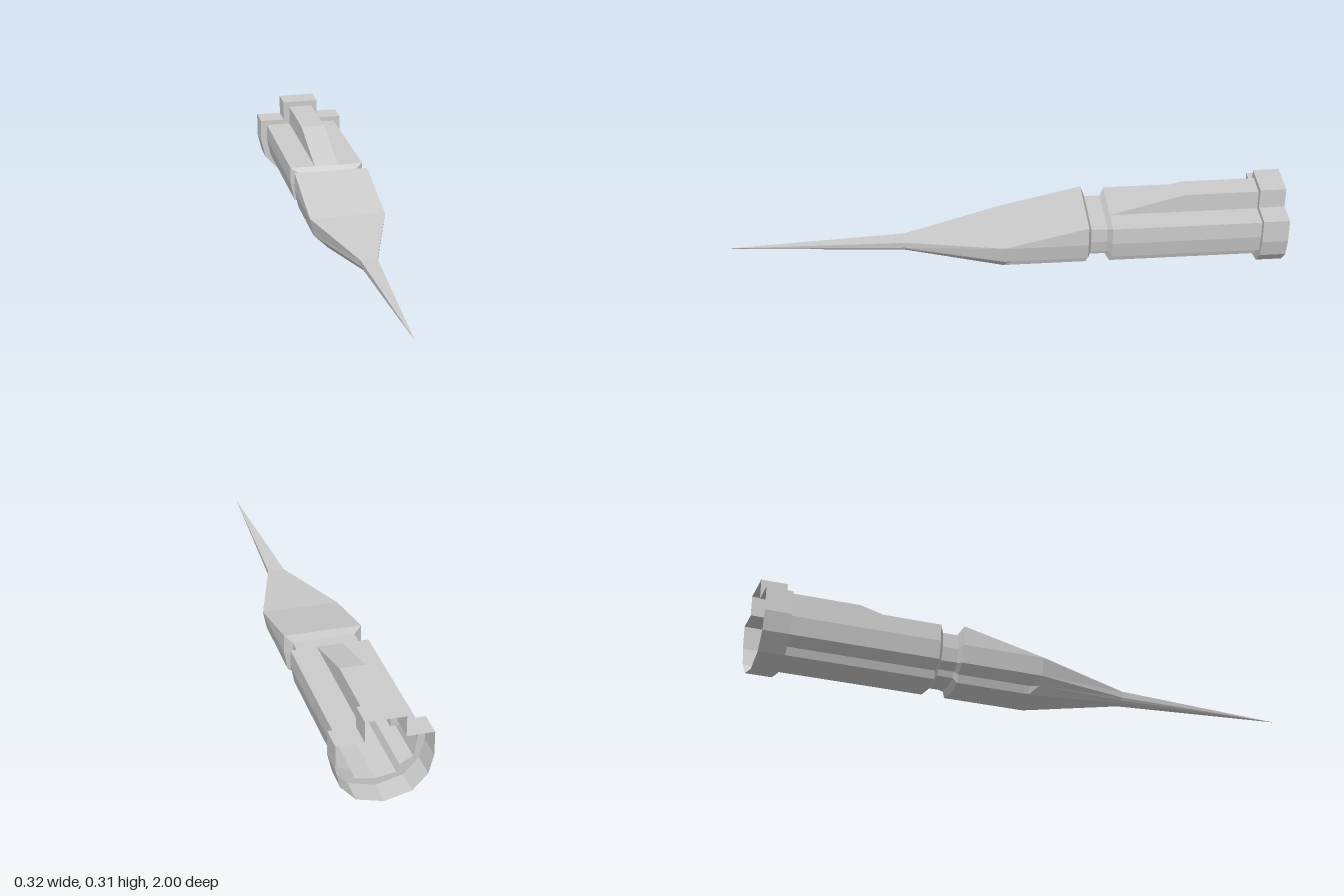
import * as THREE from 'three';

const material = new THREE.MeshStandardMaterial({ color: 0xcccccc, flatShading: true, side: THREE.DoubleSide });

// Mirrors a half outline (top centre, down the +x side, to bottom centre) into a closed loop at depth z
function section(z, half) {
  const mirrored = half.slice(1, -1).reverse().map(([x, y]) => [-x, y]);
  return [...half, ...mirrored].map(([x, y]) => new THREE.Vector3(x, y, z));
}

// Faceted skin through sections ordered from front to back, open at both ends
function loft(name, sections) {
  const pts = [];
  for (let i = 0; i < sections.length - 1; i++) {
    const p = sections[i], q = sections[i + 1], n = p.length;
    for (let j = 0; j < n; j++) {
      const k = (j + 1) % n;
      pts.push(p[j], p[k], q[j], p[k], q[k], q[j]);
    }
  }
  const geometry = new THREE.BufferGeometry().setFromPoints(pts);
  geometry.computeVertexNormals();
  const mesh = new THREE.Mesh(geometry, material);
  mesh.name = name;
  return mesh;
}

// Hull outline: deck height, ridge height, and the inner corner of the lower side notch
const PLAIN = [0.0975, 0.0635], NOTCH = [0.08, 0.065];
const hull = (deck, ridge = deck, notch = NOTCH) => [
  [0, ridge], [0.045, ridge], [0.045, deck], [0.138, deck],
  [0.138, 0.154], [0.125, 0.09], notch, [0.07, 0.037], [0, 0.026],
];
const shrink = (half) => half.map(([x, y]) => [x * 0.8, 0.125 + (y - 0.125) * 0.75]);

export function createModel() {
  const group = new THREE.Group();
  group.name = 'taperedHull';

  // Long needle nose
  const tip = hull(0.155).map(() => [0, 0.117]);
  const waist = [
    [0, 0.127], [0.01, 0.127], [0.01, 0.127], [0.03, 0.127],
    [0.03, 0.126], [0.028, 0.104], [0.023, 0.095], [0.016, 0.087], [0, 0.082],
  ];
  const shoulder = hull(0.156, 0.156, PLAIN);
  group.add(loft('needleNose', [section(1, tip), section(0.36, waist), section(0.01, shoulder)]));

  // Front body with rising deck; the side notches start just behind the shoulder
  group.add(loft('frontBody', [
    section(0.01, shoulder), section(-0.02, hull(0.163)), section(-0.288, hull(0.225)),
  ]));

  // Narrow neck with bevelled shoulders
  const neck = shrink(hull(0.225));
  group.add(loft('neck', [
    section(-0.288, hull(0.225)), section(-0.3, neck),
    section(-0.357, neck), section(-0.373, hull(0.216)),
  ]));

  // Rear body with a ramped central ridge
  const rear = hull(0.216, 0.287);
  group.add(loft('rearBody', [
    section(-0.373, hull(0.216)), section(-0.64, rear), section(-0.907, rear),
  ]));

  // Open collar at the back, with a flat ring joining it to the body
  const collar = [
    [0, 0.307], [0.068, 0.307], [0.068, 0.234], [0.162, 0.234],
    [0.162, 0.148], [0.145, 0.08], [0.119, 0.052], [0.093, 0.024], [0, 0],
  ];
  group.add(loft('rearCollar', [
    section(-0.907, rear), section(-0.907, collar), section(-1, collar),
  ]));

  return group;
}
